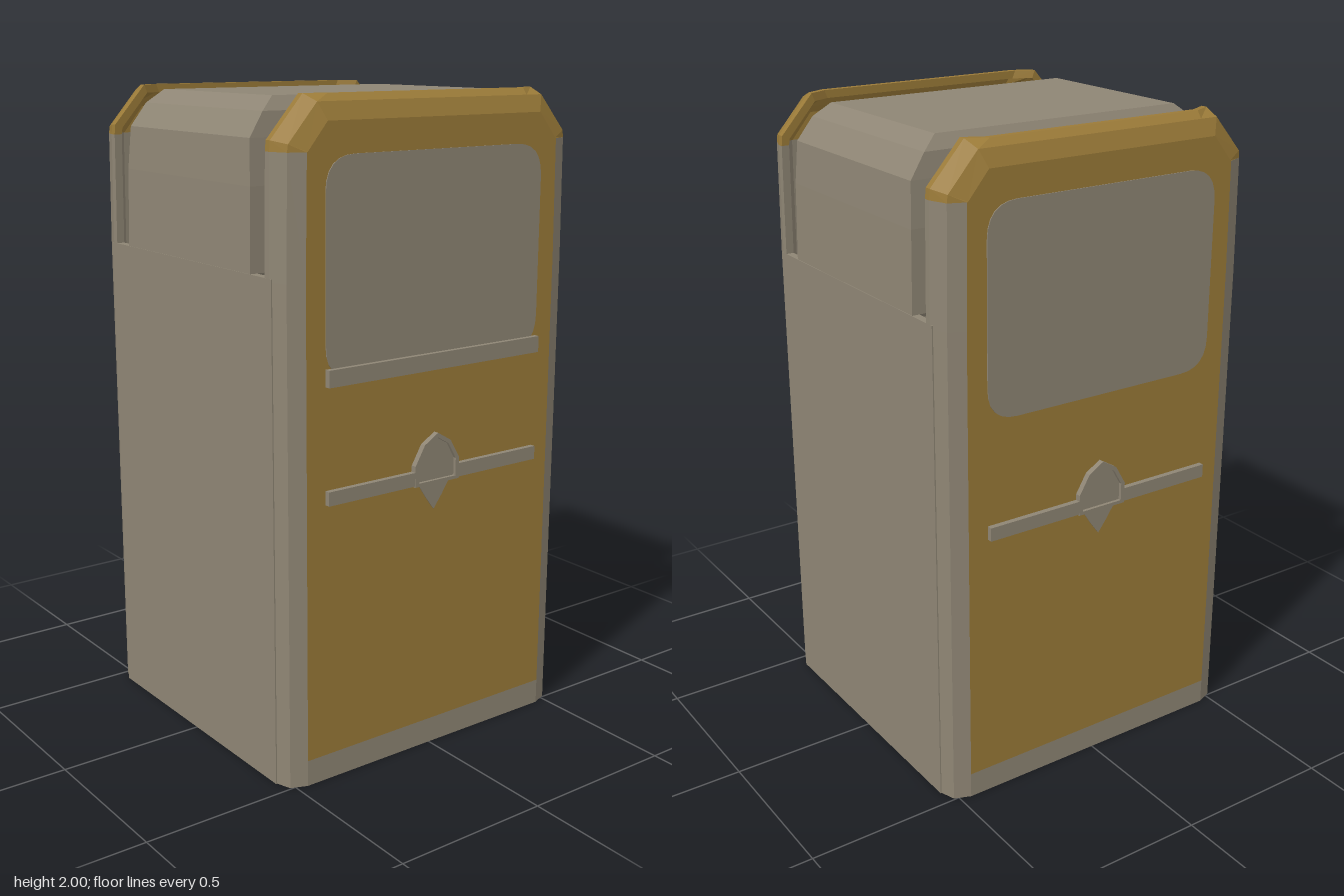
import * as THREE from 'three';

const grey = new THREE.MeshStandardMaterial({ color: 0x8e8574, side: THREE.DoubleSide });
grey.name = 'warm grey';
const ochre = new THREE.MeshStandardMaterial({ color: 0x9a7a38, side: THREE.DoubleSide });
ochre.name = 'ochre';

function add(parent, name, geometry, material, x = 0, y = 0, z = 0) {
  const mesh = new THREE.Mesh(geometry, material);
  mesh.name = name;
  mesh.position.set(x, y, z);
  parent.add(mesh);
  return mesh;
}

const box = (w, h, d) => new THREE.BoxGeometry(w, h, d);

// Faceted skin over rings of points, with both ends closed
function loft(rings) {
  const pos = [];
  const quad = (a, b, c, d) => [a, b, c, a, c, d].forEach(p => pos.push(...p));
  const n = rings[0].length;
  for (let i = 0; i < rings.length - 1; i++) {
    for (let j = 0; j < n; j++) {
      const k = (j + 1) % n;
      quad(rings[i][j], rings[i + 1][j], rings[i + 1][k], rings[i][k]);
    }
  }
  const first = rings[0], last = rings[rings.length - 1];
  for (let j = 0; j < n / 2 - 1; j++) {
    quad(first[j], first[j + 1], first[n - 2 - j], first[n - 1 - j]);
    quad(last[j], last[n - 1 - j], last[n - 2 - j], last[j + 1]);
  }
  const g = new THREE.BufferGeometry();
  g.setAttribute('position', new THREE.Float32BufferAttribute(pos, 3));
  g.computeVertexNormals();
  return g;
}

// Arch outline of a door panel, inset by d: [x, y, back edge of the flange]
function arch(d) {
  const half = [
    [0.535 - d, 0, 0.42],
    [0.535 - d, 1.5, 0.42],
    [0.53 - d, 1.85, 0.42],
    [0.527 - d, 1.88 - 0.41 * d, 0.42],
    [0.42 - 0.41 * d, 2 - d, 0.42],
    [0.36 - 0.41 * d, 2 - d, 0.45],
  ];
  return [...half, ...half.map(([x, y, b]) => [-x, y, b]).reverse()];
}

// Rim section: [inset, depth from the flange edge or null, absolute z]
const RIM = [
  [0, 0], [0, 0.02], [0.02, null, 0.495], [0.07, null, 0.515],
  [0.07, null, 0.49], [0.05, null, 0.48], [0.025, 0.02], [0.025, 0],
];

function rim(from, to) {
  const rings = [];
  for (let i = from; i <= to; i++) {
    rings.push(RIM.map(([d, off, z]) => {
      const [x, y, b] = arch(d)[i];
      return [x, y, off === null ? z : b + off];
    }));
  }
  return loft(rings);
}

function plate(points, depth, holes = []) {
  const toV = p => new THREE.Vector2(p[0], p[1]);
  const s = new THREE.Shape(points.map(toV));
  holes.forEach(h => s.holes.push(new THREE.Path(h.map(toV))));
  return new THREE.ExtrudeGeometry(s, { depth, bevelEnabled: false });
}

function roundedRect(x0, y0, x1, y1, r, depth) {
  const s = new THREE.Shape();
  s.moveTo(x0 + r, y0);
  s.lineTo(x1 - r, y0);
  s.quadraticCurveTo(x1, y0, x1, y0 + r);
  s.lineTo(x1, y1 - r);
  s.quadraticCurveTo(x1, y1, x1 - r, y1);
  s.lineTo(x0 + r, y1);
  s.quadraticCurveTo(x0, y1, x0, y1 - r);
  s.lineTo(x0, y0 + r);
  s.quadraticCurveTo(x0, y0, x0 + r, y0);
  return new THREE.ExtrudeGeometry(s, { depth, bevelEnabled: false, curveSegments: 6 });
}

// One door panel with window, handle bar and central boss
function doorPanel(name) {
  const g = new THREE.Group();
  g.name = name;
  add(g, 'leftRim', rim(0, 2), grey);
  add(g, 'topRim', rim(2, 9), ochre);
  add(g, 'rightRim', rim(9, 11), grey);

  // Grey lining and kick strip, with the painted face in front
  const outline = arch(0.07);
  add(g, 'lining', box(0.93, 1.85, 0.017), grey, 0, 0.925, 0.4985);
  add(g, 'kickStrip', box(0.93, 0.08, 0.008), grey, 0, 0.04, 0.511);
  const face = outline.map(([x, y]) => [x, Math.max(y, 0.08)]);
  add(g, 'paintedFace', plate(face, 0.008), ochre, 0, 0, 0.507);
  add(g, 'topLining', plate(outline.slice(2, 10), 0.017), ochre, 0, 0, 0.49);
  add(g, 'window', roundedRect(-0.4, 1.22, 0.4, 1.84, 0.1, 0.003), grey, 0, 0, 0.515);

  // Handle bar on both sides of the boss
  for (const s of [-1, 1]) {
    add(g, 'handleBar', box(0.32, 0.042, 0.018), grey, s * 0.24, 0.88, 0.523);
  }
  const outer = [[-0.085, 0.855], [0.085, 0.855], [0.085, 0.92], [0.05, 0.98], [0, 1.01], [-0.05, 0.98], [-0.085, 0.92]];
  const inner = outer.map(([x, y]) => [x * 0.84, 0.92 + (y - 0.92) * 0.84]);
  add(g, 'bossRim', plate(outer, 0.02, [inner]), grey, 0, 0, 0.513);
  add(g, 'bossCentre', plate(inner, 0.01), grey, 0, 0, 0.513);
  add(g, 'bossPoint', plate([[-0.06, 0.855], [-0.03, 0.81], [0, 0.77], [0.03, 0.81], [0.06, 0.855]], 0.003), grey, 0, 0, 0.515);
  return g;
}

export function createModel() {
  const model = new THREE.Group();
  model.name = 'booth';

  // Inner core with a bevelled roof
  const levels = [
    [0.02, 0.512, 0.34], [1.5, 0.512, 0.34], [1.51, 0.533, 0.345],
    [1.75, 0.528, 0.342], [1.88, 0.52, 0.332], [1.95, 0.47, 0.322], [1.99, 0.42, 0.295],
  ];
  add(model, 'core', loft(levels.map(([y, x, z]) => [[x, y, -z], [x, y, z], [-x, y, z], [-x, y, -z]])), grey);

  // Side walls between the two door panels
  for (const s of [-1, 1]) {
    add(model, s > 0 ? 'leftWall' : 'rightWall', box(0.025, 1.51, 0.9), grey, s * 0.5225, 0.755, 0);
  }

  const front = doorPanel('frontPanel');
  add(front, 'windowSill', box(0.8, 0.05, 0.02), grey, 0, 1.228, 0.523);
  model.add(front);
  const back = doorPanel('backPanel');
  back.rotation.y = Math.PI;
  model.add(back);

  // Supports hidden in the gaps behind the handles
  for (const s of [-1, 1]) {
    add(model, 'frontSupport', box(0.33, 0.04, 0.15), grey, s * 0.255, 0.88, 0.415);
  }
  add(model, 'frontBossHousing', box(0.18, 0.14, 0.11), grey, 0, 0.92, 0.435);
  add(model, 'backBossHousing', box(0.18, 0.14, 0.15), grey, 0, 0.92, -0.415);

  return model;
}
